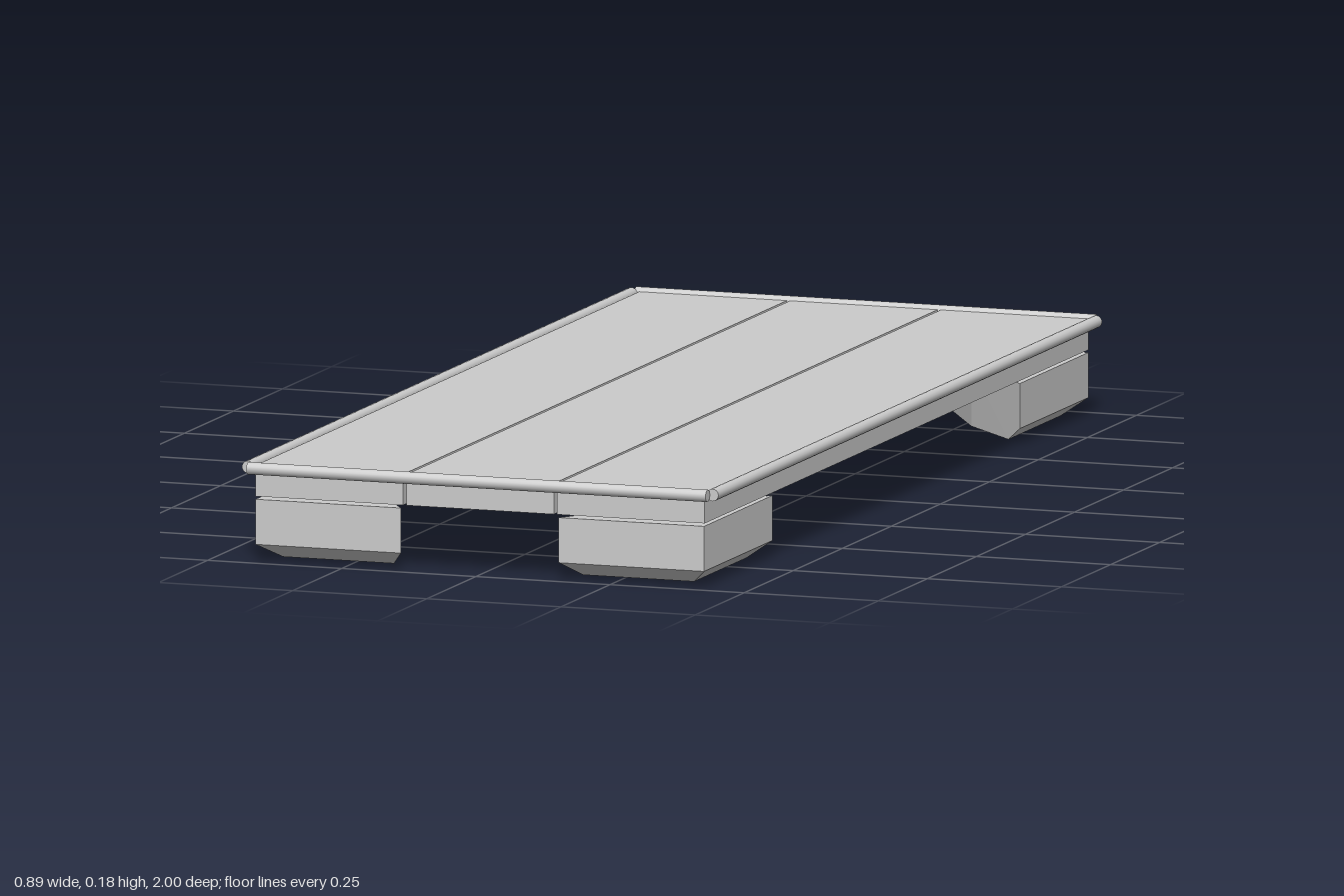
import * as THREE from 'three';
import { ConvexGeometry } from 'three/addons/geometries/ConvexGeometry.js';

const material = new THREE.MeshStandardMaterial({ color: 0xcccccc });

function addMesh(parent, name, geometry, x = 0, y = 0, z = 0) {
  const mesh = new THREE.Mesh(geometry, material);
  mesh.name = name;
  mesh.position.set(x, y, z);
  parent.add(mesh);
  return mesh;
}

// Corner foot: triangular block, outer sides chamfered at the bottom,
// inner diagonal slightly bowed. sx and sz pick the corner.
function footGeometry(sx, sz) {
  const upper = [[0.418, 0.98], [0.147, 0.98], [0.268, 0.793], [0.418, 0.63]];
  const lower = [[0.383, 0.935], [0.176, 0.935], [0.268, 0.793], [0.383, 0.667]];
  const points = [];
  for (const y of [0.11, 0.03]) {
    for (const [x, z] of upper) points.push(new THREE.Vector3(sx * x, y, sz * z));
  }
  lower.forEach(([x, z], i) => {
    points.push(new THREE.Vector3(sx * x, i === 2 ? 0 : 0.003, sz * z));
  });
  return new ConvexGeometry(points);
}

export function createModel() {
  const model = new THREE.Group();
  model.name = 'lowPlatform';

  // Deck of three long planks with narrow gaps
  const deck = new THREE.Group();
  deck.name = 'deck';
  model.add(deck);
  const bottom = 0.115, top = 0.17;
  for (const i of [-1, 0, 1]) {
    addMesh(deck, 'plank', new THREE.BoxGeometry(0.275, top - bottom, 1.956),
      i * 0.281, (top + bottom) / 2, 0);
  }

  // Round edging rods along the sides and the ends
  const edging = new THREE.Group();
  edging.name = 'edging';
  model.add(edging);
  const radius = 0.011, rodY = 0.166;
  for (const s of [-1, 1]) {
    const side = addMesh(edging, 'sideRod',
      new THREE.CylinderGeometry(radius, radius, 1.956, 16), s * 0.433, rodY, 0);
    side.rotation.x = Math.PI / 2;
    const end = addMesh(edging, 'endRod',
      new THREE.CylinderGeometry(radius, radius, 0.856, 16), 0, rodY, s * 0.989);
    end.rotation.z = Math.PI / 2;
  }

  // Four corner feet
  for (const sx of [-1, 1]) {
    for (const sz of [-1, 1]) addMesh(model, 'foot', footGeometry(sx, sz));
  }
  return model;
}
